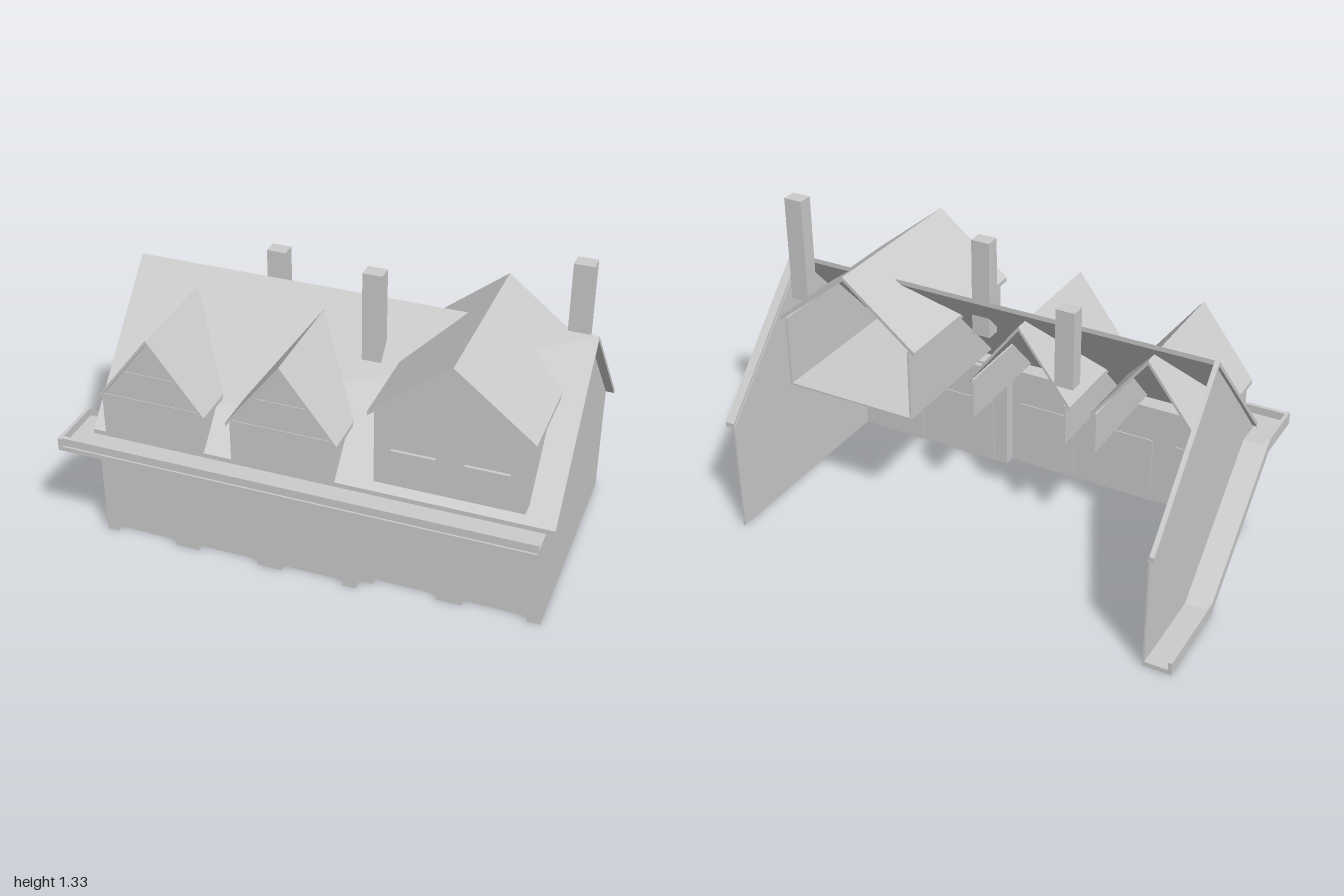
import * as THREE from 'three';

const material = new THREE.MeshStandardMaterial({ color: 0xcccccc, flatShading: true, side: THREE.DoubleSide });

const toShape = (points) => new THREE.Shape(points.map(([a, b]) => new THREE.Vector2(a, b)));

function add(parent, name, geometry) {
  const mesh = new THREE.Mesh(geometry, material);
  mesh.name = name;
  parent.add(mesh);
  return mesh;
}

// Box given by its extents on each axis
function box(parent, name, [x0, x1], [y0, y1], [z0, z1]) {
  const g = new THREE.BoxGeometry(x1 - x0, y1 - y0, z1 - z0);
  g.translate((x0 + x1) / 2, (y0 + y1) / 2, (z0 + z1) / 2);
  return add(parent, name, g);
}

// Profile in (x, y), extruded from z0 to z1
function alongZ(parent, name, points, z0, z1, holes = []) {
  const shape = toShape(points);
  shape.holes = holes.map(toShape);
  const g = new THREE.ExtrudeGeometry(shape, { depth: z1 - z0, bevelEnabled: false });
  g.translate(0, 0, z0);
  return add(parent, name, g);
}

// Profile in (z, y), extruded from x0 to x1
function alongX(parent, name, points, x0, x1) {
  const g = new THREE.ExtrudeGeometry(toShape(points), { depth: x1 - x0, bevelEnabled: false });
  g.rotateY(-Math.PI / 2).translate(x1, 0, 0);
  return add(parent, name, g);
}

const rect = (x0, x1, y0, y1) => [[x0, y0], [x1, y0], [x1, y1], [x0, y1]];

// Closed band: a line of points and the same line shifted vertically
const band = (line, from, to) => [
  ...line.map(([a, b]) => [a, b + from]),
  ...line.map(([a, b]) => [a, b + to]).reverse(),
];

// Ground-floor wall section with doorways notched out and recessed doors
function shopfront(parent, x0, x1, z, doors) {
  const outline = [[x0, 0]];
  for (const d of doors) outline.push([d, 0], [d, 0.305], [d + 0.265, 0.305], [d + 0.265, 0]);
  outline.push([x1, 0], [x1, 0.47], [x0, 0.47]);
  alongZ(parent, 'frontWall', outline, z - 0.035, z);
  for (const d of doors) box(parent, 'door', [d, d + 0.265], [0, 0.305], [z - 0.04, z - 0.03]);
}

// Gabled dormer, open at the back
function dormer(name, { x, half, base, eave, apex, overhang, back, windows = [] }) {
  const group = new THREE.Group();
  group.name = name;
  const slope = (apex - eave) / overhang;
  const wallTop = apex - slope * half - 0.02;
  alongZ(group, 'dormerFront',
    [[-half, base], [half, base], [half, wallTop], [0, apex - 0.02], [-half, wallTop]],
    0.45, 0.465, windows);
  for (const s of [-1, 1]) {
    const e = [s * half, s * (half - 0.008)].sort((a, b) => a - b);
    box(group, 'dormerSide', e, [base, wallTop], [back, 0.455]);
  }
  alongZ(group, 'dormerRoof', band([[-overhang, eave], [0, apex], [overhang, eave]], -0.018, 0), back, 0.473);
  group.position.x = x;
  return group;
}

export function createModel() {
  const model = new THREE.Group();
  const WALL_R = -0.89, WALL_L = 0.965;

  // Front wall: two sections, the second set slightly back
  shopfront(model, WALL_R, 0.22, 0.45, [-0.84, -0.47, -0.1]);
  shopfront(model, 0.22, WALL_L, 0.4, [0.275, 0.645]);
  box(model, 'wallStep', [0.21, 0.22], [0, 0.47], [0.365, 0.45]);

  // Gable end walls
  const gable = (front, y) => [[-0.58, 0], [front, 0], [front, y], [-0.06, 1.035], [-0.58, 0.485]];
  alongX(model, 'rightGableWall', gable(0.45, 0.485), WALL_R, WALL_R + 0.008);
  alongX(model, 'leftGableWall', gable(0.4, 0.54), WALL_L - 0.008, WALL_L);

  // Front roof slope, with narrow verges on the open rear slope
  const frontSlope = [[-0.06, 1.05], [0.455, 0.505]];
  const rearSlope = [[-0.58, 0.505], [-0.06, 1.05]];
  alongX(model, 'mainRoof', band(frontSlope, -0.02, 0), -0.905, 1);
  alongX(model, 'rightVerge', band(rearSlope, -0.02, 0), -0.905, -0.885);
  alongX(model, 'leftVerge', band(rearSlope, -0.02, 0), 0.96, 1);

  // Gutter canopy across the front, with a raised rim
  box(model, 'canopy', [-1, WALL_L], [0.46, 0.48], [0.39, 0.58]);
  box(model, 'canopyRim', [-0.985, WALL_L], [0.48, 0.515], [0.555, 0.572]);

  // Canopy return that sweeps down along the right end wall
  const sweep = [[0.58, 0.46], [0.34, 0.46], [-0.19, 0], [-0.58, 0]];
  alongX(model, 'sideRamp', band(sweep, 0, 0.02), -1, WALL_R);
  alongX(model, 'sideRampRim', band(sweep, 0.02, 0.055), -1, -0.985);

  // Two small timbered dormers
  for (const x of [-0.63, -0.08]) {
    const d = dormer('smallDormer', { x, half: 0.213, base: 0.51, eave: 0.685, apex: 0.985, overhang: 0.23, back: -0.073 });
    const z = [0.464, 0.468];
    for (const p of [-0.205, -0.06, 0.06, 0.205]) box(d, 'timberPost', [p - 0.008, p + 0.008], [0.51, 0.69], z);
    box(d, 'timberBeam', [-0.21, 0.21], [0.685, 0.7], z);
    box(d, 'timberCollar', [-0.1, 0.1], [0.81, 0.822], z);
    model.add(d);
  }

  // Large dormer with two windows and a floor
  const windows = [[-0.23, -0.055], [0.055, 0.23]];
  const big = dormer('largeDormer', {
    x: 0.59, half: 0.295, base: 0.56, eave: 0.875, apex: 1.13, overhang: 0.32, back: -0.28,
    windows: windows.map(([a, b]) => rect(a, b, 0.715, 0.91)),
  });
  for (const w of windows) box(big, 'windowPane', w, [0.715, 0.91], [0.445, 0.452]);
  box(big, 'dormerFloor', [-0.295, 0.295], [0.56, 0.568], [-0.28, 0.455]);
  model.add(big);

  // Chimneys
  box(model, 'rightChimney', [-0.36, -0.28], [0.82, 1.15], [-0.152, -0.09]);
  box(model, 'middleChimney', [0.12, 0.2], [0.82, 1.24], [0.055, 0.118]);
  box(model, 'leftChimney', [0.877, 0.957], [0.88, 1.33], [-0.13, -0.067]);

  return model;
}
